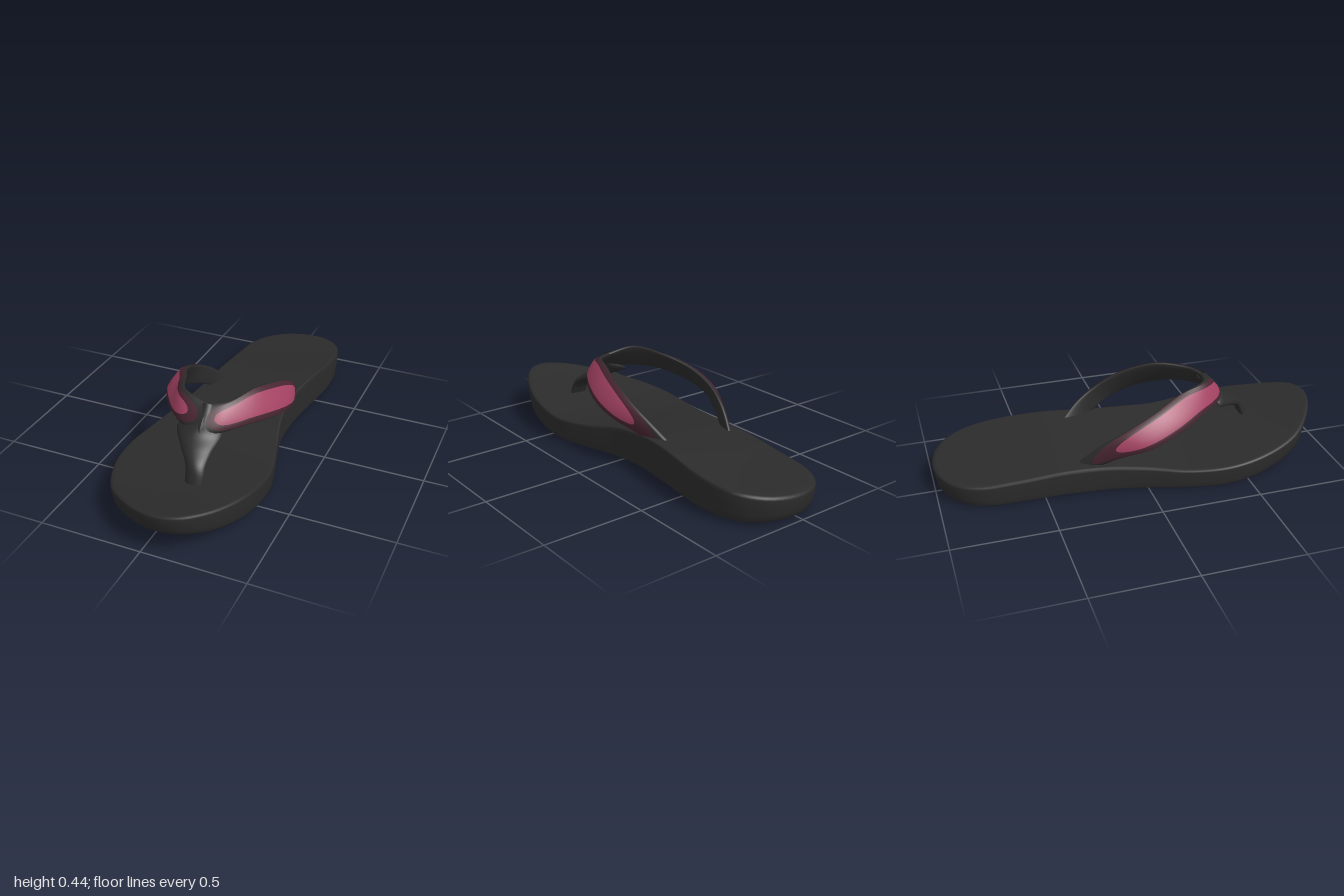
import * as THREE from 'three';
import { mergeVertices } from 'three/addons/utils/BufferGeometryUtils.js';

const material = (name, color) => Object.assign(new THREE.MeshStandardMaterial({ color }), { name });
const V = (a) => new THREE.Vector3(...a);

// Smooth surface from a grid of points fn(u, v); flip reverses the facing
function surface(nu, nv, fn, flip = false) {
  const pos = [], idx = [];
  for (let i = 0; i <= nu; i++) for (let j = 0; j <= nv; j++) pos.push(...fn(i / nu, j / nv));
  for (let i = 0; i < nu; i++) for (let j = 0; j < nv; j++) {
    const a = i * (nv + 1) + j, b = a + 1, c = a + nv + 1, d = c + 1;
    if (flip) idx.push(a, b, c, b, d, c);
    else idx.push(a, c, b, b, c, d);
  }
  let g = new THREE.BufferGeometry();
  g.setAttribute('position', new THREE.Float32BufferAttribute(pos, 3));
  g.setIndex(idx);
  g = mergeVertices(g, 1e-5);
  g.computeVertexNormals();
  return g;
}

// Smooth value along z
function profile(points) {
  const it = new THREE.CubicInterpolant(points.map((p) => p[0]), points.map((p) => p[1]), 1);
  return (z) => it.evaluate(THREE.MathUtils.clamp(z, -1, 1))[0];
}
// Centre height of the footbed, its sideways tilt, and the height of the underside
const topY = profile([[-1, 0.125], [-0.8, 0.137], [-0.6, 0.152], [-0.4, 0.168], [-0.2, 0.166], [0, 0.15],
  [0.2, 0.12], [0.4, 0.116], [0.6, 0.137], [0.8, 0.165], [1, 0.212]]);
const tilt = profile([[-1, 0.09], [-0.6, 0.11], [-0.2, 0.11], [0, 0.1], [0.2, 0.06], [0.4, 0.04], [0.7, 0.06], [1, 0.07]]);
const bottomY = profile([[-1, 0.015], [-0.9, 0.005], [-0.7, 0.008], [-0.4, 0.014], [0, 0.006], [0.2, 0.001],
  [0.4, 0.001], [0.6, 0.018], [0.8, 0.052], [1, 0.12]]);

// Sole outline as x, z, running round from the heel
const outline = new THREE.CatmullRomCurve3([
  [0.04, -1], [0.17, -0.97], [0.26, -0.89], [0.3, -0.8], [0.315, -0.65], [0.287, -0.4], [0.262, -0.2],
  [0.27, 0], [0.32, 0.2], [0.368, 0.4], [0.355, 0.62], [0.3, 0.79], [0.25, 0.885], [0.185, 0.965], [0.09, 1],
  [-0.03, 0.972], [-0.145, 0.9], [-0.25, 0.8], [-0.345, 0.6], [-0.375, 0.4], [-0.35, 0.2], [-0.3, 0],
  [-0.265, -0.2], [-0.25, -0.4], [-0.237, -0.65], [-0.222, -0.8], [-0.175, -0.9], [-0.09, -0.97],
].map(([x, z]) => new THREE.Vector3(x, 0, z)), true).getSpacedPoints(120);

// Rings of [scale, height from bottom 0 to top 1], joined over the outline
function soleGeometry(rings) {
  return surface(rings.length - 1, 120, (u, v) => {
    const [s, h] = rings[Math.round(u * (rings.length - 1))];
    const p = outline[Math.round(v * 120) % 120];
    const x = 0.02 + (p.x - 0.02) * s, z = p.z * s;
    return [x, THREE.MathUtils.lerp(bottomY(z) + 0.05 * Math.max(0, x), topY(z) + tilt(z) * x, h), z];
  });
}

export function createModel() {
  const black = material('charcoal foam', 0x2b2b2b);
  const under = material('dark rubber', 0x232323);
  const maroon = material('maroon trim', 0x472530);
  const pink = material('raspberry panel', 0xa44263);
  black.side = maroon.side = pink.side = THREE.DoubleSide;
  const model = new THREE.Group();
  model.name = 'flipFlop';
  const add = (name, geometry, mat, parent = model) => {
    const m = new THREE.Mesh(geometry, mat);
    m.name = name;
    parent.add(m);
  };

  // Footbed with soft rim, and the tread underneath
  const inner = [0.9, 0.8, 0.7, 0.6, 0.5, 0.4, 0.3, 0.2, 0.1, 0];
  add('footbed', soleGeometry([[0.968, 0], [0.982, 0.08], [0.99, 0.3], [0.997, 0.6], [1, 0.88], [0.995, 0.96],
    [0.98, 1], [0.95, 1], ...inner.map((s) => [s, 1])]), black);
  add('tread', soleGeometry([...inner.map((s) => [s, 0]).reverse(), [0.94, 0], [0.968, 0]]), under);

  // Straps: upper and lower edge paths from the toe junction back to the sole
  const straps = [
    { name: 'rightStrap', side: -1,
      upper: [[0.05, 0.415, 0.38], [-0.09, 0.44, 0.34], [-0.16, 0.42, 0.19], [-0.225, 0.372, 0.04],
        [-0.24, 0.31, -0.1], [-0.215, 0.24, -0.22], [-0.165, 0.12, -0.35]],
      lower: [[0.05, 0.3, 0.49], [-0.07, 0.315, 0.44], [-0.195, 0.315, 0.31], [-0.28, 0.275, 0.15],
        [-0.303, 0.225, 0], [-0.25, 0.175, -0.14], [-0.19, 0.1, -0.27]] },
    { name: 'leftStrap', side: 1,
      upper: [[0.04, 0.415, 0.38], [0.12, 0.42, 0.34], [0.195, 0.43, 0.19], [0.242, 0.385, 0.02],
        [0.25, 0.33, -0.1], [0.23, 0.26, -0.22], [0.175, 0.14, -0.36]],
      lower: [[0.04, 0.3, 0.49], [0.12, 0.305, 0.44], [0.22, 0.31, 0.32], [0.295, 0.28, 0.15],
        [0.302, 0.24, 0], [0.255, 0.195, -0.12], [0.19, 0.12, -0.25]] },
  ];
  for (const { name, side, upper, lower } of straps) {
    const top = new THREE.CatmullRomCurve3(upper.map(V)), low = new THREE.CatmullRomCurve3(lower.map(V));
    // Point on the band: v runs upper to lower edge, off is distance outward
    const point = (u, v, off) => {
      const a = top.getPoint(u), b = low.getPoint(u);
      const along = top.getTangent(u).add(low.getTangent(u));
      const n = along.cross(b.clone().sub(a)).normalize().multiplyScalar(-side);
      return a.lerp(b, v).addScaledVector(n, off).toArray();
    };
    const crown = (v) => 0.022 * Math.pow(Math.max(0, 4 * v * (1 - v)), 0.4);
    // Painted panel with rounded ends between u0 and u1
    const panel = (u0, u1, half, lift) => surface(48, 12, (s, t) => {
      const e = -Math.cos(s * Math.PI);
      const w = half * Math.sqrt(Math.max(0, 1 - e ** 4));
      const v = 0.5 + w * (2 * t - 1);
      return point(u0 + (u1 - u0) * (e + 1) / 2, v, crown(v) + lift);
    }, side < 0);
    const group = new THREE.Group();
    group.name = name;
    model.add(group);
    add('strapBand', surface(48, 24, (u, t) => {
      const a = t * Math.PI * 2;
      const v = 0.5 - 0.5 * Math.cos(a);
      return point(u, v, t <= 0.5 ? crown(v) : -0.5 * crown(v));
    }, side < 0), black, group);
    add('strapTrim', panel(0.035, 0.93, 0.49, 0.003), maroon, group);
    add('strapPanel', panel(0.1, 0.79, 0.33, 0.006), pink, group);
  }

  // Toe post: slim at the junction, a web under the straps, narrowing to the toe
  const spine = new THREE.CatmullRomCurve3([[0.045, 0.41, 0.385], [0.045, 0.355, 0.435], [0.02, 0.295, 0.488],
    [0.045, 0.255, 0.55], [0.078, 0.205, 0.61], [0.085, 0.11, 0.65]].map(V));
  const widths = new THREE.CatmullRomCurve3([0.03, 0.035, 0.115, 0.08, 0.048, 0.045].map((w) => V([w, 0, 0])));
  add('toePost', surface(30, 24, (u, t) => {
    const a = t * Math.PI * 2, p = spine.getPoint(u), w = widths.getPoint(u).x;
    const dx = w * Math.cos(a), d = 0.022 * Math.sin(a);
    return [p.x + dx, p.y + d * 0.7, p.z + d * 0.7 - 4.5 * dx * dx];
  }, true), black);
  return model;
}
